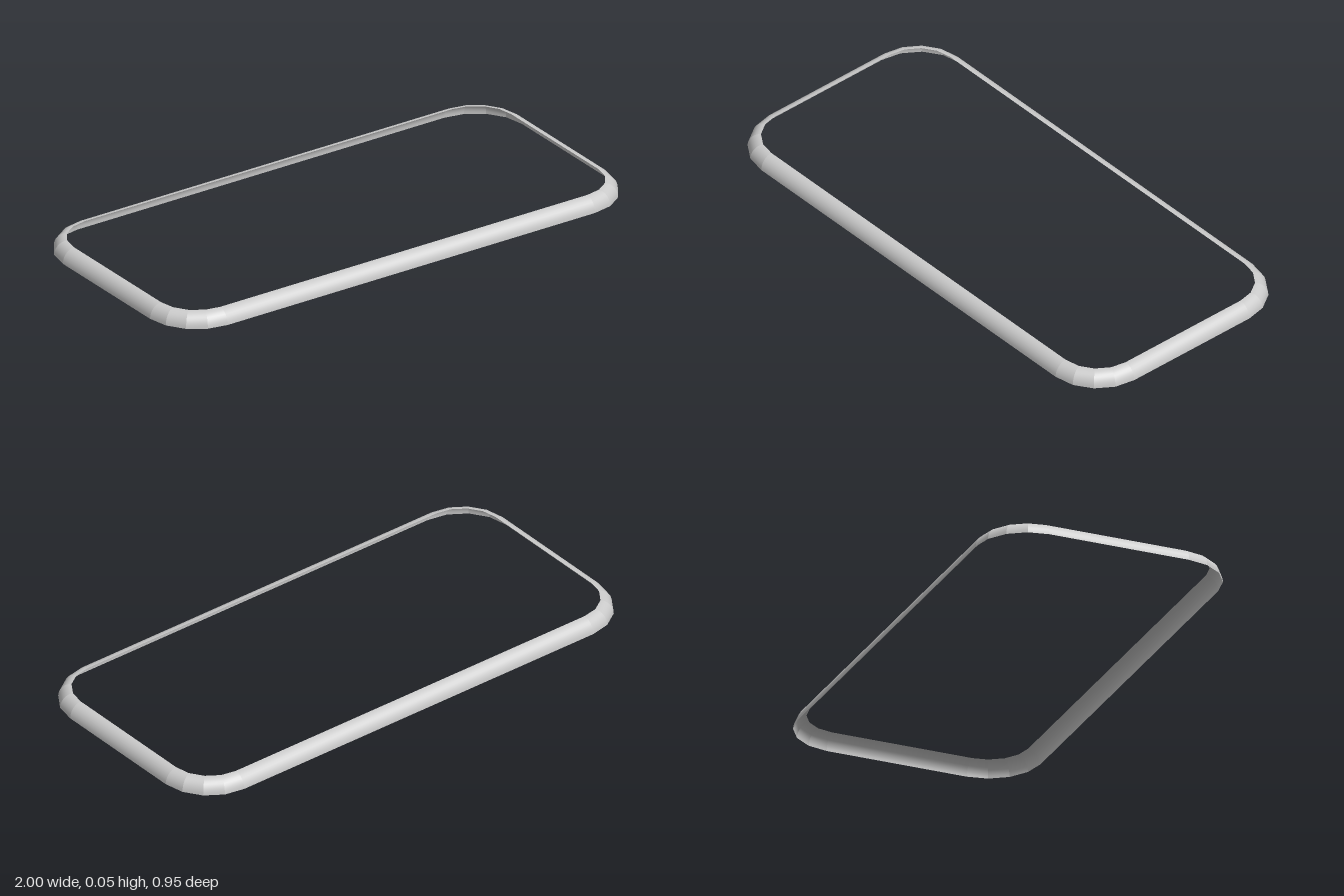
import * as THREE from 'three';

const HALF_X = 1, HALF_Z = 0.473;   // outer half sizes
const RADIUS = 0.2;                 // outer corner radius
const WIDTH = 0.048, HEIGHT = 0.053; // quarter-round lip
const CORNER_STEPS = 4, PROFILE_STEPS = 8;

// Points around the rounded rectangle: corner centre plus outward direction
function outline() {
  const points = [];
  const corners = [[1, 1], [-1, 1], [-1, -1], [1, -1]];
  corners.forEach(([sx, sz], c) => {
    for (let i = 0; i <= CORNER_STEPS; i++) {
      const a = (c + i / CORNER_STEPS) * Math.PI / 2;
      points.push({
        cx: sx * (HALF_X - RADIUS), cz: sz * (HALF_Z - RADIUS),
        dx: Math.cos(a), dz: Math.sin(a),
      });
    }
  });
  return points;
}

// Each segment has its own vertices: facets around the rim, smooth across it
function rimGeometry() {
  const points = outline();
  const positions = [], indices = [];
  points.forEach((p, k) => {
    const q = points[(k + 1) % points.length];
    const base = positions.length / 3;
    for (let j = 0; j <= PROFILE_STEPS; j++) {
      const t = (j / PROFILE_STEPS) * Math.PI / 2;
      const r = RADIUS - WIDTH * (1 - Math.cos(t));
      const y = HEIGHT * Math.sin(t);
      for (const e of [p, q]) positions.push(e.cx + e.dx * r, y, e.cz + e.dz * r);
    }
    for (let j = 0; j < PROFILE_STEPS; j++) {
      const a = base + j * 2;
      indices.push(a, a + 2, a + 1, a + 1, a + 2, a + 3);
    }
  });
  const geometry = new THREE.BufferGeometry();
  geometry.setAttribute('position', new THREE.Float32BufferAttribute(positions, 3));
  geometry.setIndex(indices);
  geometry.computeVertexNormals();
  return geometry;
}

export function createModel() {
  const group = new THREE.Group();
  group.name = 'roundedFrame';
  // Open, hollow rim, so both sides are shown
  const material = new THREE.MeshStandardMaterial({ color: 0xcccccc, side: THREE.DoubleSide });
  const rim = new THREE.Mesh(rimGeometry(), material);
  rim.name = 'rim';
  group.add(rim);
  return group;
}
